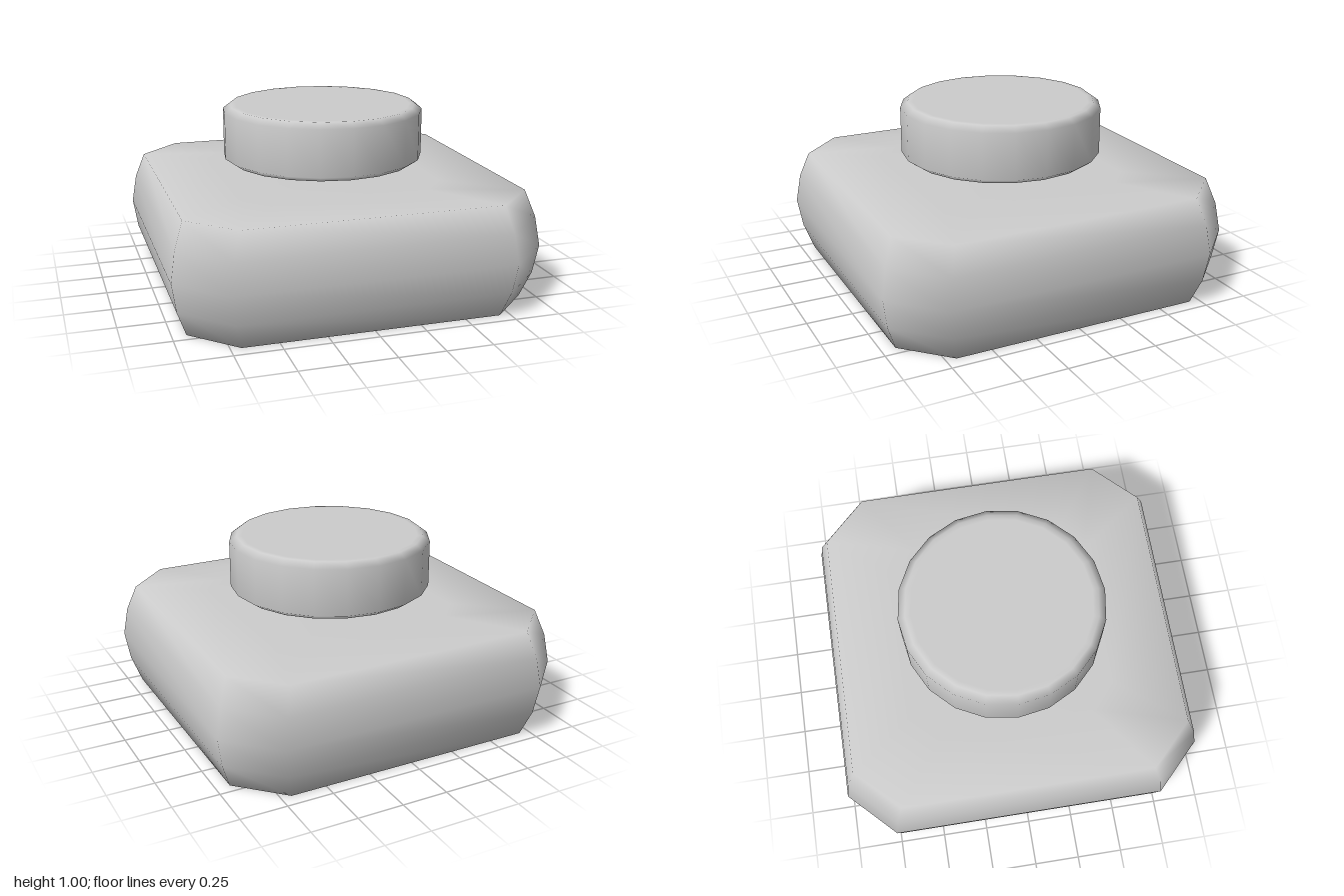
import * as THREE from 'three';
import { mergeVertices } from 'three/addons/utils/BufferGeometryUtils.js';

const material = new THREE.MeshStandardMaterial({ color: 0xcccccc });
const toPoints = (profile) => profile.map(([r, y]) => new THREE.Vector2(r, y));

function addMesh(group, name, geometry) {
  const mesh = new THREE.Mesh(geometry, material);
  mesh.name = name;
  group.add(mesh);
}

// Square with cut corners, swept along a bulging profile of [scale, height]
function chamferedBlock(profile) {
  const corners = [
    [-0.75, 1], [0.75, 1], [1, 0.75], [1, -0.75],
    [0.75, -1], [-0.75, -1], [-1, -0.75], [-1, 0.75],
  ];
  const geometry = new THREE.LatheGeometry(toPoints(profile), corners.length);
  const position = geometry.attributes.position;
  for (let i = 0; i <= corners.length; i++) {
    const [x, z] = corners[i % corners.length];
    profile.forEach(([s, y], j) => position.setXYZ(i * profile.length + j, x * s, y, z * s));
  }
  // Weld the seam so the shading runs smoothly all the way round
  geometry.deleteAttribute('uv');
  geometry.deleteAttribute('normal');
  const welded = mergeVertices(geometry);
  welded.computeVertexNormals();
  return welded;
}

export function createModel() {
  const group = new THREE.Group();
  group.name = 'pushButton';

  // Soft base block with a faintly domed top
  addMesh(group, 'base', chamferedBlock([
    [0, 0], [0.7, 0], [0.925, 0], [0.975, 0.14], [1, 0.3],
    [0.975, 0.46], [0.925, 0.603], [0.55, 0.611], [0, 0.613],
  ]));

  // Short stem between base and cap
  const stem = new THREE.CylinderGeometry(0.225, 0.225, 0.14, 20);
  stem.translate(0, 0.64, 0);
  addMesh(group, 'stem', stem);

  // Round cap with softened rims
  addMesh(group, 'cap', new THREE.LatheGeometry(toPoints([
    [0, 0.685], [0.49, 0.685], [0.52, 0.685], [0.56, 0.713],
    [0.56, 0.97], [0.52, 1], [0.49, 1], [0, 1],
  ]), 20));

  return group;
}
